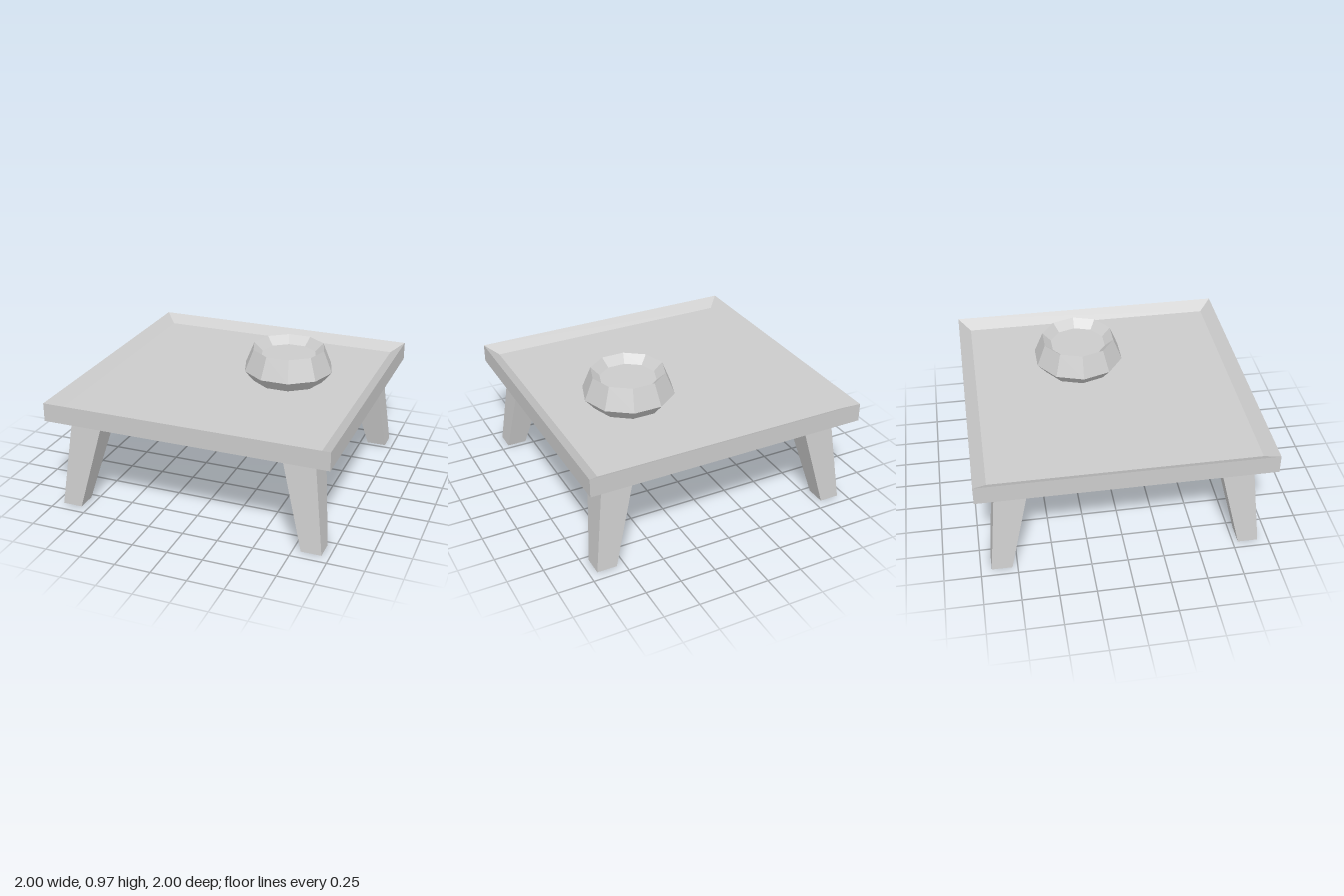
import * as THREE from 'three';

const material = new THREE.MeshStandardMaterial({ color: 0xcccccc, flatShading: true });

// Faceted solid from a profile running bottom to top, with the given number of sides
function faceted(name, profile, sides, phiStart) {
  const points = profile.map(([r, y]) => new THREE.Vector2(r, y));
  const mesh = new THREE.Mesh(new THREE.LatheGeometry(points, sides, phiStart), material);
  mesh.name = name;
  return mesh;
}

// Tapered, splayed leg: wide under the table top, narrow at the floor
function createLeg(name, sx, sz) {
  const geometry = new THREE.BoxGeometry(2, 2, 2);
  const p = geometry.attributes.position;
  for (let i = 0; i < p.count; i++) {
    const top = p.getY(i) > 0;
    const cx = sx * (top ? 0.75 : 0.875);
    const cz = sz * (top ? 0.75 : 0.857);
    const half = top ? 0.115 : 0.07;
    p.setXYZ(i, cx + p.getX(i) * half, top ? 0.66 : 0, cz + p.getZ(i) * half);
  }
  geometry.computeVertexNormals();
  const leg = new THREE.Mesh(geometry, material);
  leg.name = name;
  return leg;
}

export function createModel() {
  const model = new THREE.Group();
  model.name = 'lowTable';

  // Square table top with a sloping inner rim around a sunken surface
  const d = Math.SQRT2;
  model.add(faceted('tableTop',
    [[0, 0.66], [d, 0.66], [d, 0.79], [0.912 * d, 0.733], [0, 0.733]], 4, Math.PI / 4));

  // Ten-sided bowl standing on the sunken surface
  const bowl = faceted('bowl',
    [[0, 0.733], [0.255, 0.733], [0.325, 0.815], [0.262, 0.97], [0.2, 0.914], [0, 0.914]], 10, Math.PI / 2);
  bowl.position.set(0.34, 0, -0.15);
  model.add(bowl);

  // Four legs
  for (const [sx, side] of [[1, 'Left'], [-1, 'Right']]) {
    for (const [sz, end] of [[1, 'front'], [-1, 'back']]) {
      model.add(createLeg(`${end}${side}Leg`, sx, sz));
    }
  }
  return model;
}
